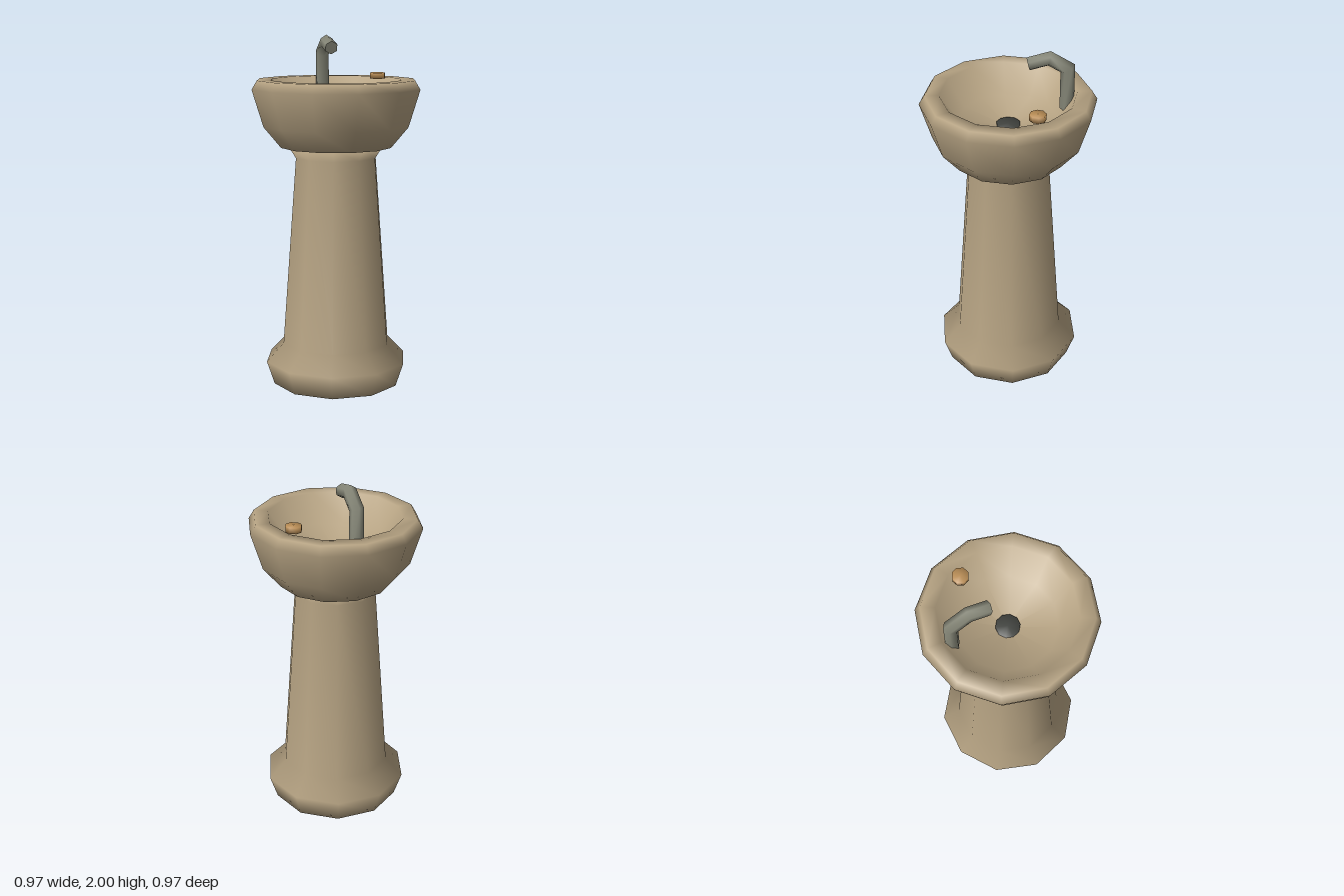
import * as THREE from 'three';

const mat = (name, color) => {
  const m = new THREE.MeshStandardMaterial({ color });
  m.name = name;
  return m;
};

// Smooth, low-sided turned part; profile is [radius, y] from the underside outward and up
function turned(name, profile, sides, material) {
  const points = profile.map(([r, y]) => new THREE.Vector2(r, y));
  const mesh = new THREE.Mesh(new THREE.LatheGeometry(points, sides, Math.PI / 2), material);
  mesh.name = name;
  return mesh;
}

// Closed disc with softened shading
const disc = (name, r, y0, y1, sides, material) =>
  turned(name, [[0, y0], [r, y0], [r, y1], [0, y1]], sides, material);

// Mitred pipe bent in the yz plane; path is a list of [z, y]
function pipe(path, radius, sides) {
  const pts = path.map(([z, y]) => new THREE.Vector2(z, y));
  const pos = [], index = [];
  const dirs = pts.slice(1).map((p, i) => p.clone().sub(pts[i]).normalize());
  const ring = (i) => {
    const a = dirs[Math.max(i - 1, 0)], b = dirs[Math.min(i, dirs.length - 1)];
    const t = a.clone().add(b).normalize();
    const reach = radius / t.dot(a);
    for (let k = 0; k < sides; k++) {
      const ang = (k / sides) * Math.PI * 2;
      const c = Math.cos(ang) * reach;
      pos.push(Math.sin(ang) * radius, pts[i].y + t.x * c, pts[i].x - t.y * c);
    }
  };
  pts.forEach((_, i) => ring(i));
  for (let i = 0; i < pts.length - 1; i++) {
    for (let k = 0; k < sides; k++) {
      const a = i * sides + k, b = i * sides + (k + 1) % sides;
      index.push(a, a + sides, b, b, a + sides, b + sides);
    }
  }
  // End caps on their own vertices, so their edges stay sharp
  const start = pos.length / 3;
  ring(0);
  ring(pts.length - 1);
  for (let k = 1; k < sides - 1; k++) {
    index.push(start, start + k, start + k + 1);
    index.push(start + sides, start + sides + k + 1, start + sides + k);
  }
  const g = new THREE.BufferGeometry();
  g.setAttribute('position', new THREE.Float32BufferAttribute(pos, 3));
  g.setIndex(index);
  g.computeVertexNormals();
  return g;
}

export function createModel() {
  const stone = mat('tan stone', 0xb5a282);
  const steel = mat('dull steel', 0x868778);
  const dark = mat('dark drain', 0x40423e);
  const brass = mat('brass', 0xb98d55);

  const group = new THREE.Group();
  group.name = 'drinkingFountain';

  // Flared foot and tapering column
  group.add(turned('pedestal', [
    [0, 0], [0.37, 0], [0.415, 0.135], [0.315, 0.24],
    [0.235, 1.32], [0.28, 1.39], [0, 1.39],
  ], 10, stone));

  // Basin: outer wall, rim, then the hollow
  group.add(turned('basin', [
    [0, 1.38], [0.32, 1.38], [0.42, 1.5], [0.485, 1.71], [0.455, 1.76],
    [0.375, 1.76], [0.27, 1.61], [0, 1.555],
  ], 12, stone));

  group.add(disc('drain', 0.067, 1.54, 1.577, 10, dark));

  // Bent spout rising from the back of the hollow
  const spout = new THREE.Mesh(
    pipe([[-0.318, 1.66], [-0.318, 1.9], [-0.218, 1.962], [-0.105, 1.933]], 0.039, 6), steel);
  spout.name = 'spout';
  group.add(spout);

  // Push button beside the spout
  const button = disc('button', 0.046, 1.753, 1.787, 8, brass);
  button.position.set(0.285, 0, -0.135);
  group.add(button);

  return group;
}
